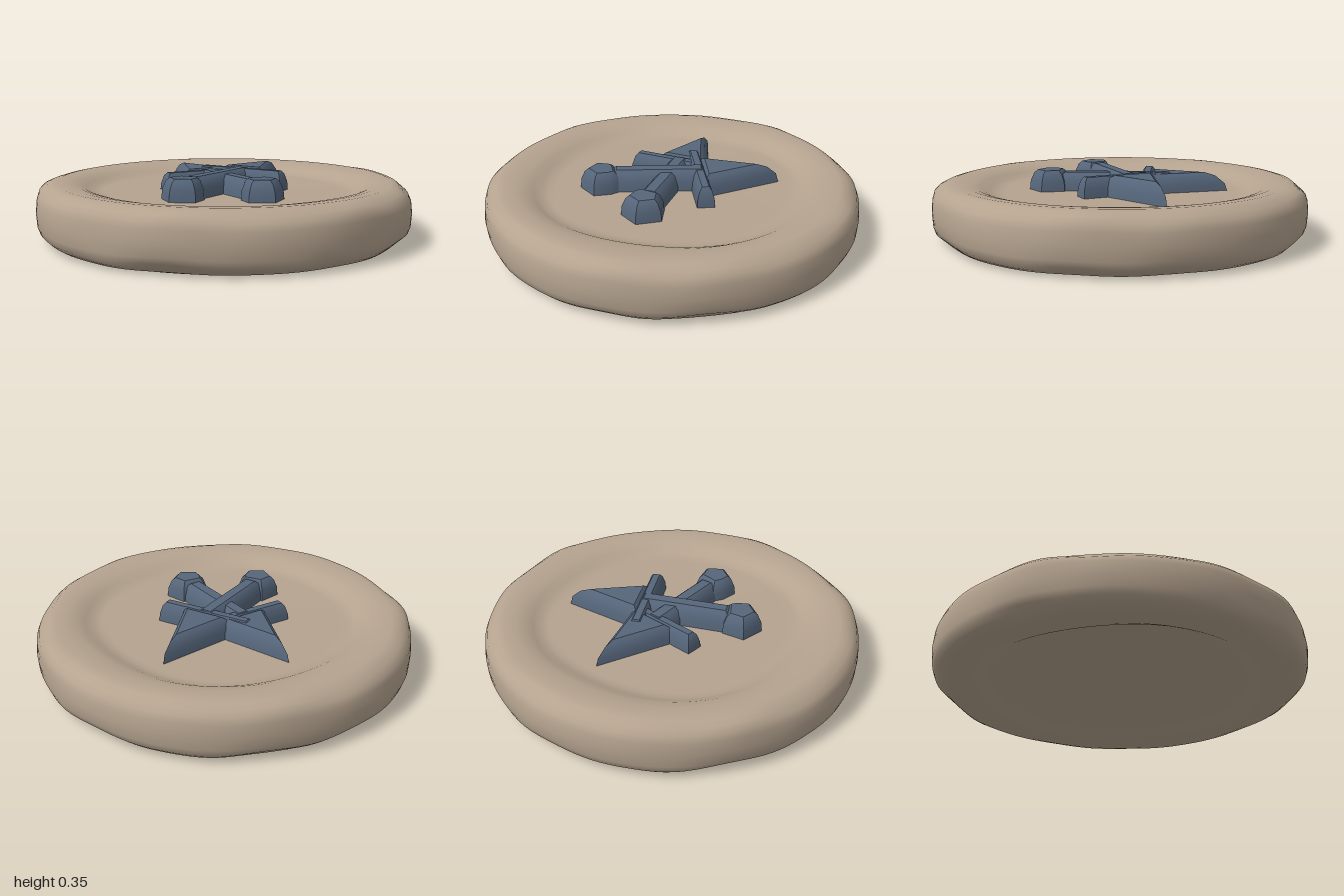
import * as THREE from 'three';
import { mergeVertices, toCreasedNormals } from 'three/addons/utils/BufferGeometryUtils.js';

const stone = new THREE.MeshStandardMaterial({ color: 0xb5a38f });
const steel = new THREE.MeshStandardMaterial({ color: 0x55657a });
const FLOOR = 0.24;

// Moves every edge of a convex outline inward by d (outline runs clockwise in x, z)
function inset(pts, d) {
  const n = pts.length;
  return pts.map((p, i) => {
    const e0 = p.clone().sub(pts[(i + n - 1) % n]).normalize();
    const e1 = pts[(i + 1) % n].clone().sub(p).normalize();
    const n0 = new THREE.Vector2(e0.y, -e0.x), n1 = new THREE.Vector2(e1.y, -e1.x);
    return n0.clone().add(n1).multiplyScalar(d / (1 + n0.dot(n1))).add(p);
  });
}

// Upright slab with a rounded-off top edge, from a convex [x, z] outline
function slab(name, outline, top, bevel, mirror) {
  const pts = outline.map(([x, z]) => new THREE.Vector2(x * mirror, z));
  if (THREE.ShapeUtils.area(pts) > 0) pts.reverse();
  const levels = [[FLOOR - 0.02, 0], [top - 0.06, bevel * 0.15], [top - 0.018, bevel * 0.55], [top, bevel]];
  const rings = levels.map(([y, d]) => inset(pts, d).map(p => [p.x, y, p.y]));
  const pos = [], n = pts.length;
  for (let k = 0; k < rings.length - 1; k++) {
    for (let i = 0; i < n; i++) {
      const j = (i + 1) % n;
      const a = rings[k][i], b = rings[k][j], c = rings[k + 1][j], d = rings[k + 1][i];
      pos.push(...a, ...b, ...c, ...a, ...c, ...d);
    }
  }
  const cap = rings[rings.length - 1];
  for (let i = 1; i < n - 1; i++) pos.push(...cap[0], ...cap[i], ...cap[i + 1]);
  const geo = new THREE.BufferGeometry();
  geo.setAttribute('position', new THREE.Float32BufferAttribute(pos, 3));
  const mesh = new THREE.Mesh(toCreasedNormals(geo, 0.7), steel);
  mesh.name = name;
  return mesh;
}

// Four corners of a bar from a to b
function bar(a, b, half) {
  const dx = b[0] - a[0], dz = b[1] - a[1], s = half / Math.hypot(dx, dz);
  const ox = -dz * s, oz = dx * s;
  return [[a[0] + ox, a[1] + oz], [b[0] + ox, b[1] + oz], [b[0] - ox, b[1] - oz], [a[0] - ox, a[1] - oz]];
}

// One stubby sword lying diagonally; mirror = -1 flips it, drop lowers it
function sword(name, mirror, drop) {
  const g = new THREE.Group();
  g.name = name;
  g.add(
    slab('blade', [[0.225, -0.03], [-0.06, -0.2], [0.31, -0.495]], 0.35 - drop, 0.045, mirror),
    slab('guard', bar([0.325, 0.02], [-0.14, -0.245], 0.048), 0.345 - drop, 0.03, mirror),
    slab('grip', bar([-0.18, 0.29], [0.12, -0.16], 0.072), 0.349 - drop, 0.045, mirror),
    slab('pommel', [[-0.315, 0.29], [-0.22, 0.205], [-0.09, 0.265], [-0.09, 0.33], [-0.13, 0.415], [-0.265, 0.415]],
      0.352 - drop * 0.3, 0.04, mirror)
  );
  return g;
}

// Worn round stone with a sunken floor on both faces
function disc() {
  const half = [[0.62, 0.24], [0.66, 0.242], [0.7, 0.25], [0.74, 0.272], [0.78, 0.288], [0.83, 0.298],
    [0.89, 0.302], [0.93, 0.298], [0.965, 0.284], [0.988, 0.26], [0.998, 0.22]];
  const H = 0.302;
  const profile = [
    [0, H - FLOOR], ...half.map(([r, y]) => [r, H - y]), [1, H / 2], ...half.slice().reverse(), [0, FLOOR]
  ].map(([r, y]) => new THREE.Vector2(r, y));
  let geo = new THREE.LatheGeometry(profile, 128);
  const p = geo.attributes.position;
  // Uneven wear, strongest on the rounded edges
  for (let i = 0; i < p.count; i++) {
    const x = p.getX(i), y = p.getY(i), z = p.getZ(i), r = Math.hypot(x, z);
    if (r < 0.63) continue;
    const a = Math.atan2(z, x), up = y > H / 2 ? 1 : -1;
    const wave = 0.5 + 0.22 * Math.sin(5 * a + up) + 0.16 * Math.sin(9 * a + 2 * up) + 0.12 * Math.sin(14 * a - up);
    const edge = Math.exp(-(((r - 0.97) / 0.04) ** 2)) * Math.min(1, Math.abs(y - H / 2) / 0.1);
    const slope = Math.exp(-(((r - 0.72) / 0.05) ** 2)) * 0.01 * Math.sin(4 * a + up);
    const k = 1 - 0.016 * edge * wave;
    p.setXYZ(i, x * k, y - up * (0.022 * edge * wave + slope), z * k);
  }
  geo.deleteAttribute('uv');
  geo.deleteAttribute('normal');
  geo = mergeVertices(geo, 1e-4);
  geo.computeVertexNormals();
  const mesh = new THREE.Mesh(geo, stone);
  mesh.name = 'stoneDisc';
  return mesh;
}

export function createModel() {
  const model = new THREE.Group();
  model.name = 'stoneToken';
  model.add(disc(), sword('upperSword', 1, 0), sword('lowerSword', -1, 0.012));
  return model;
}
